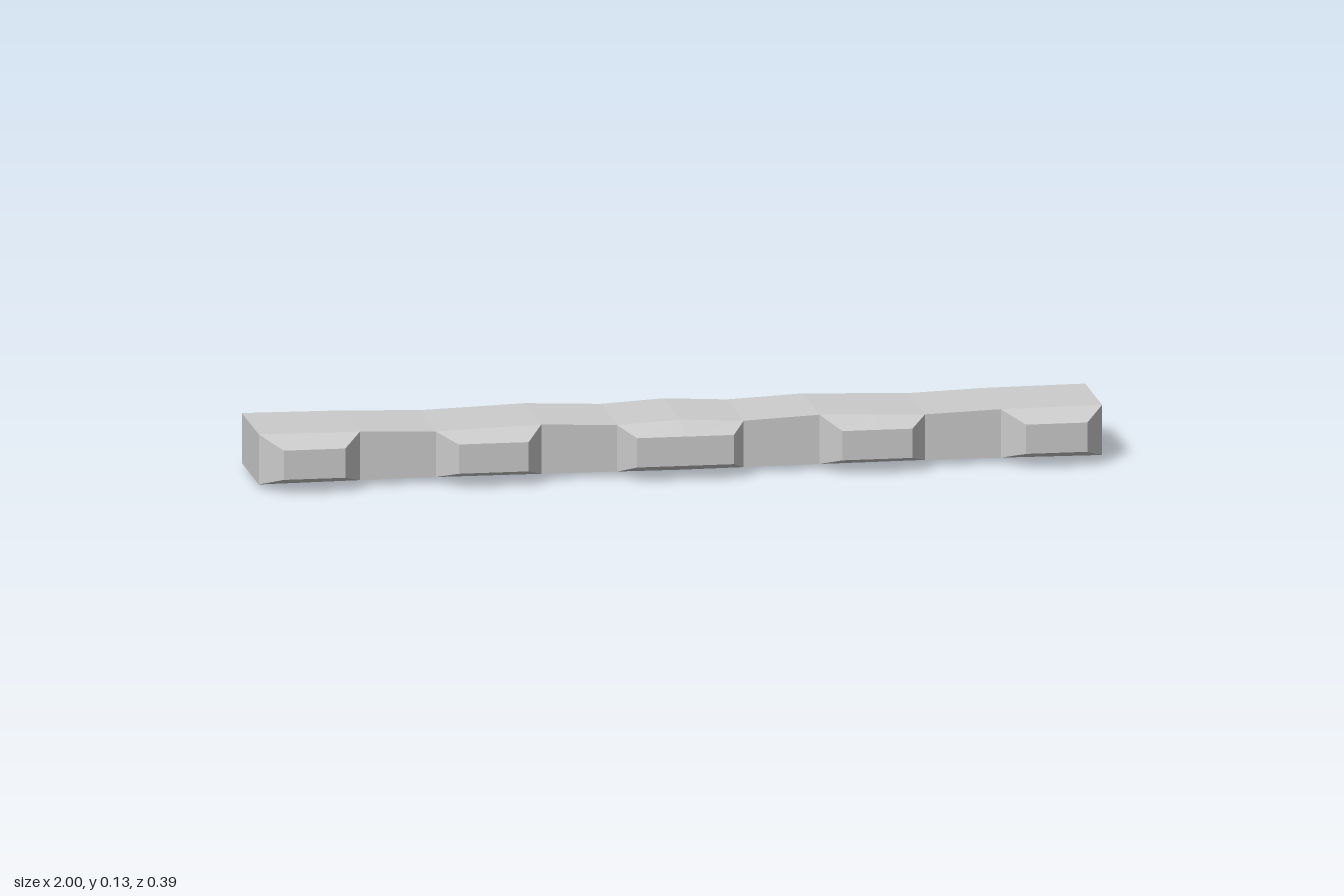
import * as THREE from 'three';

const HALF_WIDTH = 0.12, OUTER_Z = 0.194;
const material = new THREE.MeshStandardMaterial({ color: 0xcccccc, flatShading: true });

// Half profile of the slightly wavy bar: [x, top, bottom, bottom centre ridge]
const profile = [
  [0, 0.13, 0.01, 0.0],
  [0.15, 0.122, 0.011, 0.005],
  [0.33, 0.13, 0.012, 0.011],
  [0.58, 0.122, 0.013, 0.012],
  [0.76, 0.128, 0.012, 0.011],
  [1, 0.13, 0.01, 0.01],
];

// Interpolates one profile column at |x|
function at(x, column) {
  const ax = Math.abs(x);
  const i = Math.max(1, profile.findIndex((p) => p[0] >= ax - 1e-6));
  const a = profile[i - 1], b = profile[i];
  return THREE.MathUtils.lerp(a[column], b[column], (ax - a[0]) / (b[0] - a[0]));
}

// Joins rings of points into a closed, capped solid
function loft(rings) {
  const n = rings[0].length, index = [];
  for (let r = 0; r < rings.length - 1; r++) {
    for (let i = 0; i < n; i++) {
      const j = (i + 1) % n, a = r * n + i, b = r * n + j;
      index.push(a, b, b + n, a, b + n, a + n);
    }
  }
  const last = (rings.length - 1) * n;
  for (let i = 1; i < n - 1; i++) {
    index.push(0, i + 1, i, last, last + i, last + i + 1);
  }
  const indexed = new THREE.BufferGeometry();
  indexed.setAttribute('position', new THREE.Float32BufferAttribute(rings.flat(2), 3));
  indexed.setIndex(index);
  const geometry = indexed.toNonIndexed();
  geometry.computeVertexNormals();
  return geometry;
}

// Long central bar
function makeBar() {
  const xs = [...profile.slice(1).map((p) => -p[0]).reverse(), ...profile.map((p) => p[0])];
  const w = HALF_WIDTH;
  return loft(xs.map((x) => {
    const top = at(x, 1), bottom = at(x, 2), ridge = at(x, 3);
    return [[x, top, -w], [x, top, w], [x, bottom, w], [x, ridge, 0], [x, bottom, -w]];
  }));
}

// Side lug tapering outward from the bar
function makeLug(x0, x1, taper) {
  const mid = (x0 + x1) / 2;
  const base = [
    ...[x0, mid, x1].map((x) => [x, at(x, 2), HALF_WIDTH]),
    ...[x1, mid, x0].map((x) => [x, at(x, 1), HALF_WIDTH]),
  ];
  const a = x0 + taper, b = x1 - taper;
  const outer = [
    ...[a, mid, b].map((x) => [x, 0.035, OUTER_Z]),
    ...[b, mid, a].map((x) => [x, 0.105, OUTER_Z]),
  ];
  return loft([base, outer]);
}

export function createModel() {
  const model = new THREE.Group();
  model.name = 'notchedBar';

  const add = (geometry, name) => {
    const mesh = new THREE.Mesh(geometry, material);
    mesh.name = name;
    model.add(mesh);
    return mesh;
  };

  add(makeBar(), 'bar');

  // Five lugs along each long side
  const lugs = [
    [-1, -0.76, 0.047], [-0.58, -0.33, 0.042], [-0.15, 0.15, 0.035],
    [0.33, 0.58, 0.042], [0.76, 1, 0.047],
  ];
  lugs.forEach(([x0, x1, taper], i) => {
    const geometry = makeLug(x0, x1, taper);
    add(geometry, `frontLug${i + 1}`);
    add(geometry, `backLug${i + 1}`).rotation.y = Math.PI;
  });
  return model;
}
